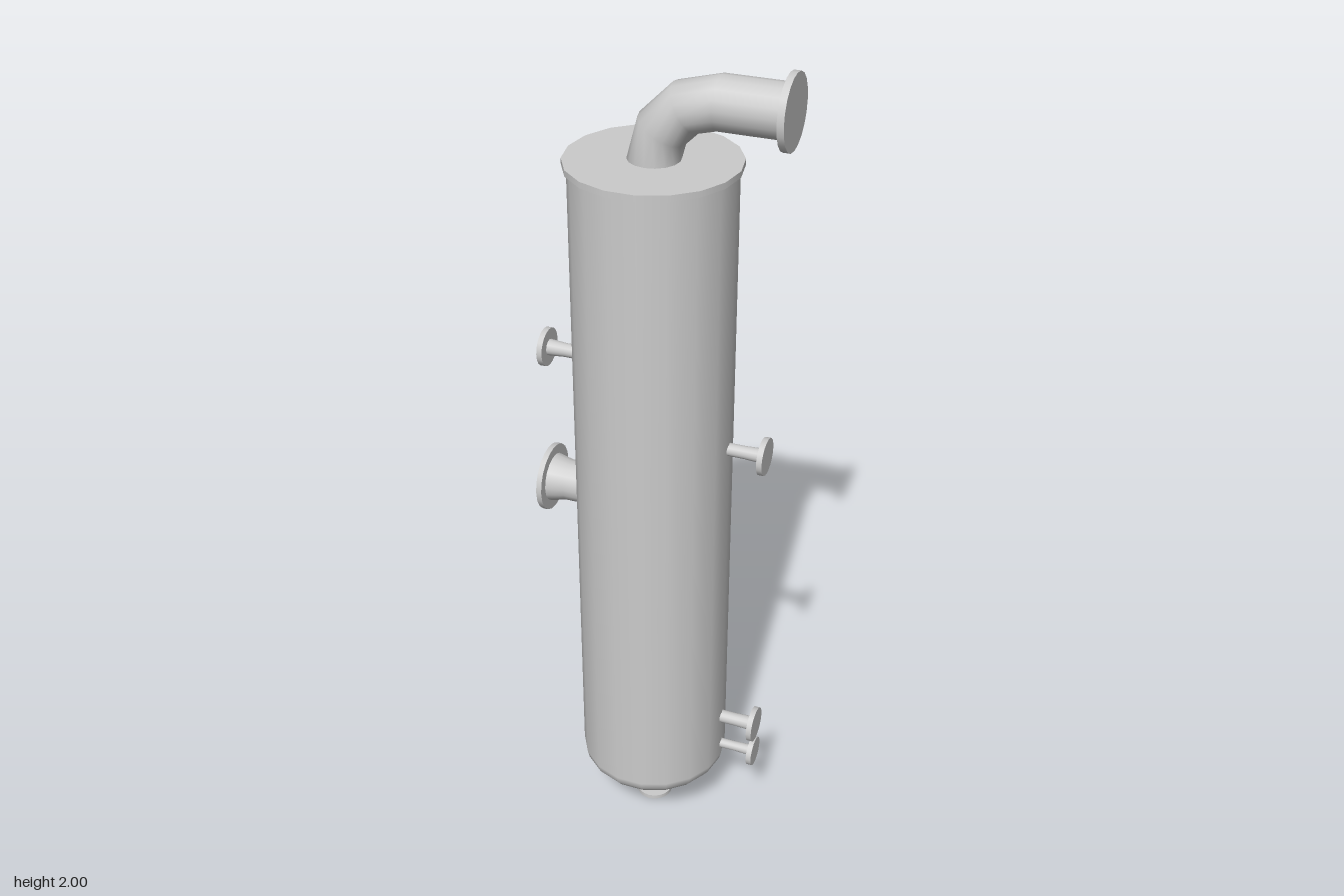
import * as THREE from 'three';

const AXIS_X = -0.016; // vessel centre line
const PIPE_Z = -0.003;
const SIDES = 18;

const material = new THREE.MeshStandardMaterial({ color: 0xcccccc, side: THREE.DoubleSide });

function addMesh(parent, name, geometry, x = 0, y = 0, z = 0) {
  const mesh = new THREE.Mesh(geometry, material);
  mesh.name = name;
  mesh.position.set(x, y, z);
  parent.add(mesh);
  return mesh;
}

// Nozzle along +y: straight neck, slightly flared hub and a blind flange
function makeNozzle(name, { length, neck, hub, flange, thick = 0.013 }) {
  const nozzle = new THREE.Group();
  nozzle.name = name;
  const profile = [
    [neck, 0],
    [neck, length - thick - 0.04],
    [hub, length - thick],
  ].map(([r, y]) => new THREE.Vector2(r, y));
  addMesh(nozzle, 'neck', new THREE.LatheGeometry(profile, SIDES));
  addMesh(nozzle, 'flange', new THREE.CylinderGeometry(flange, flange, thick, SIDES + 2), 0, length - thick / 2);
  return nozzle;
}

export function createModel() {
  const model = new THREE.Group();
  model.name = 'pressureVessel';

  // Shell with a dished bottom
  const shell = [];
  for (let i = 0; i <= 7; i++) {
    const a = (i / 7) * Math.PI / 2;
    shell.push(new THREE.Vector2(0.182 * Math.sin(a), 0.182 - 0.085 * Math.cos(a)));
  }
  shell.push(new THREE.Vector2(0.182, 1.77));
  addMesh(model, 'shell', new THREE.LatheGeometry(shell, SIDES, Math.PI / 2), AXIS_X);

  // Flat lid
  const lid = new THREE.CylinderGeometry(0.192, 0.192, 0.014, SIDES, 1, false, Math.PI / 2);
  addMesh(model, 'lid', lid, AXIS_X, 1.773);

  // Outlet pipe: three-segment elbow, straight run and end flange
  const outlet = new THREE.Group();
  outlet.name = 'outletPipe';
  model.add(outlet);
  const bend = 0.143, bendX = AXIS_X + bend, bendY = 1.776, runY = bendY + bend;
  const elbow = new THREE.TorusGeometry(bend, 0.058, 16, 3, Math.PI / 2).rotateZ(Math.PI / 2);
  addMesh(outlet, 'elbow', elbow, bendX, bendY, PIPE_Z);
  const runLength = 0.275 - bendX;
  const run = new THREE.CylinderGeometry(0.058, 0.058, runLength, 16, 1, true).rotateZ(-Math.PI / 2);
  addMesh(outlet, 'straightRun', run, bendX + runLength / 2, runY, PIPE_Z);
  const endFlange = new THREE.CylinderGeometry(0.081, 0.081, 0.015, 20).rotateZ(-Math.PI / 2);
  addMesh(outlet, 'endFlange', endFlange, 0.277, runY, PIPE_Z);

  // Side nozzles: side is the sign of x, reach is the outer face of the flange
  const start = 0.12;
  const sideNozzles = [
    { name: 'upperRightNozzle', side: -1, y: 1.283, reach: 0.285, neck: 0.016, hub: 0.019, flange: 0.045 },
    { name: 'largeRightNozzle', side: -1, y: 0.929, reach: 0.285, neck: 0.049, hub: 0.058, flange: 0.081 },
    { name: 'upperLeftNozzle', side: 1, y: 1.105, reach: 0.256, neck: 0.015, hub: 0.017, flange: 0.044 },
    { name: 'lowerLeftNozzle', side: 1, y: 0.305, reach: 0.256, neck: 0.016, hub: 0.018, flange: 0.044 },
    { name: 'bottomLeftNozzle', side: 1, y: 0.215, reach: 0.256, neck: 0.012, hub: 0.014, flange: 0.037 },
  ];
  for (const n of sideNozzles) {
    const nozzle = makeNozzle(n.name, { ...n, length: n.reach - start });
    nozzle.rotation.z = -n.side * Math.PI / 2;
    nozzle.position.set(n.side * start, n.y, PIPE_Z);
    model.add(nozzle);
  }

  // Drain nozzle under the dished bottom
  const drain = makeNozzle('drainNozzle', { length: 0.12, neck: 0.016, hub: 0.018, flange: 0.045, thick: 0.011 });
  drain.rotation.z = Math.PI;
  drain.position.set(AXIS_X, 0.12, 0);
  model.add(drain);

  return model;
}
